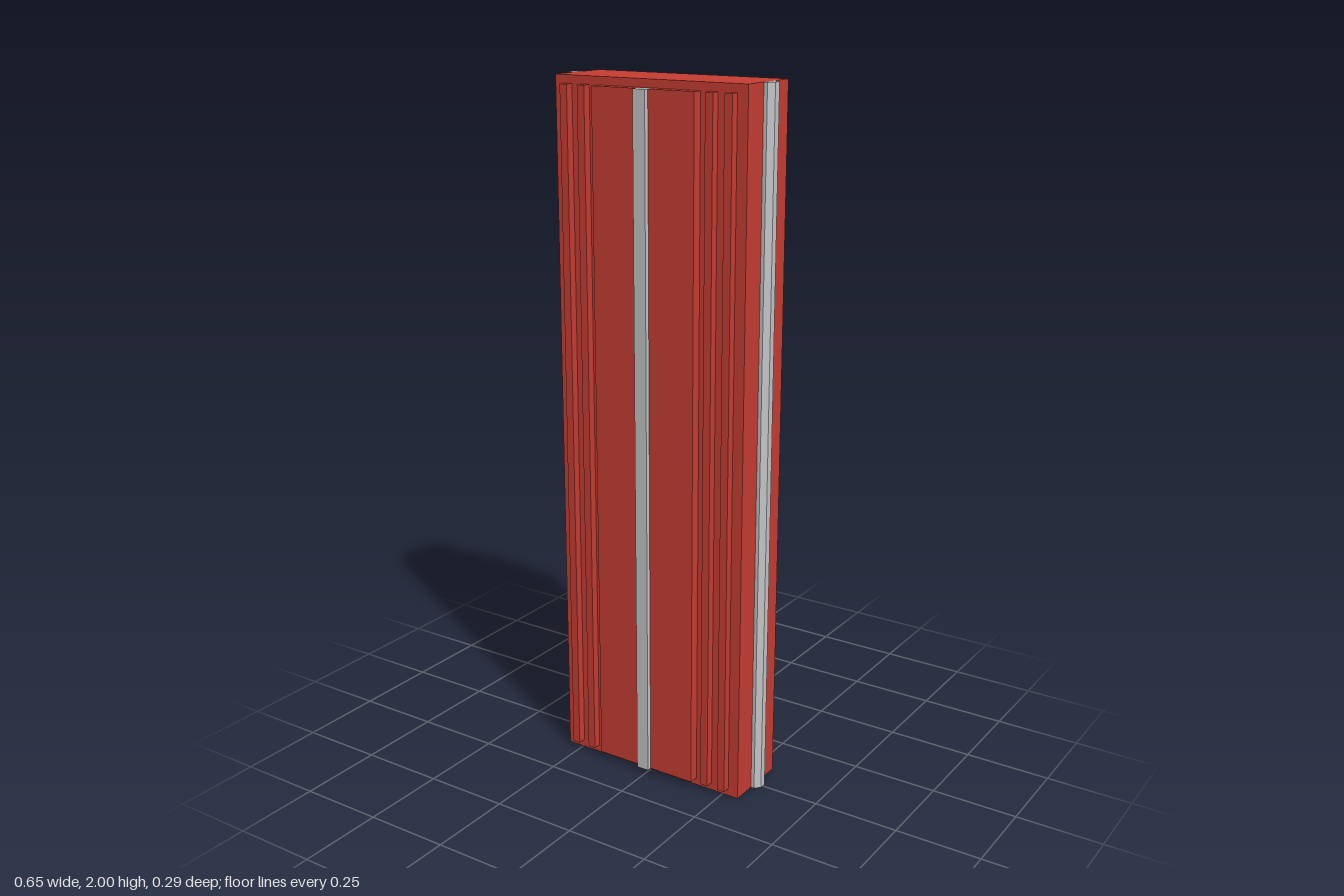
import * as THREE from 'three';

export function createModel() {
  const model = new THREE.Group();
  const red = new THREE.MeshStandardMaterial({ color: 0xc83e33 });
  red.name = 'red paint';
  const silver = new THREE.MeshStandardMaterial({ color: 0xc4c6c8, flatShading: true });
  silver.name = 'silver trim';

  const add = (name, geometry, material, x, y, z) => {
    const mesh = new THREE.Mesh(geometry, material);
    mesh.name = name;
    mesh.position.set(x, y, z);
    model.add(mesh);
    return mesh;
  };

  // Main slab
  add('body', new THREE.BoxGeometry(0.6, 2, 0.2), red, 0, 1, 0);

  // Raised relief on both broad faces, slightly short of the slab's ends
  const reliefHeight = 1.955;
  const relief = (name, material, x, width, reach, side) => {
    const depth = reach - 0.1;
    add(name, new THREE.BoxGeometry(width, reliefHeight, depth), material, x, 1, side * (0.1 + depth / 2));
  };
  for (const side of [1, -1]) {
    const face = side > 0 ? 'front' : 'back';
    relief(face + 'Panel', red, 0, 0.32, 0.13, side);
    relief(face + 'CentreStrip', silver, 0, 0.038, 0.144, side);
    for (const x of [-0.257, -0.2, 0.2, 0.257]) relief(face + 'Rib', red, x, 0.023, 0.124, side);
  }

  // Half-octagon rods along the narrow edges
  for (const side of [1, -1]) {
    const rod = new THREE.CylinderGeometry(0.027, 0.027, 2, 8, 1, false, Math.PI / 8, Math.PI * 2);
    // Flatten the inner half onto the slab's side
    const p = rod.attributes.position;
    for (let i = 0; i < p.count; i++) p.setX(i, side * Math.max(0, side * p.getX(i)));
    add(side > 0 ? 'leftRod' : 'rightRod', rod, silver, side * 0.3, 1, 0);
  }
  return model;
}
